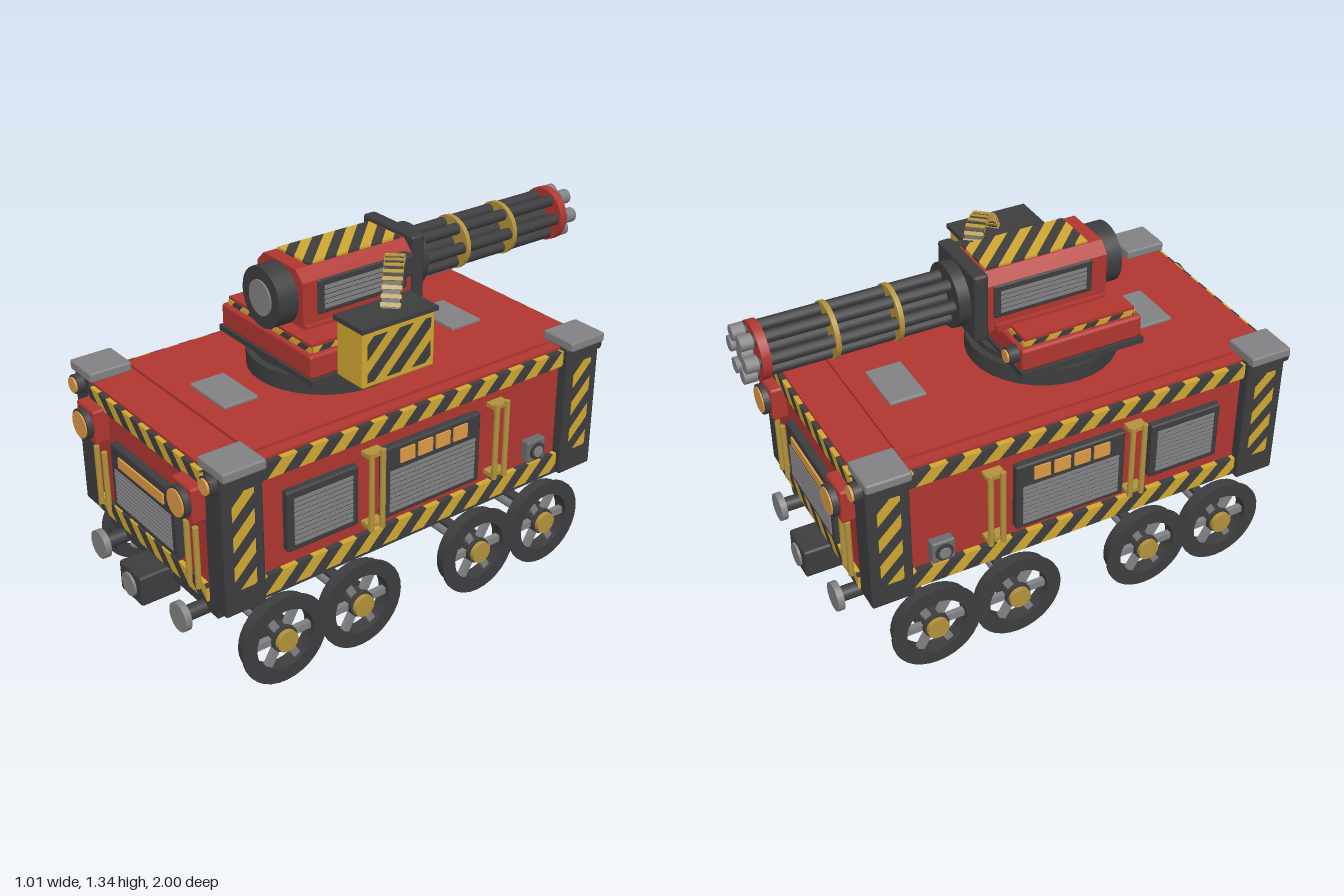
import * as THREE from 'three';
import { RoundedBoxGeometry } from 'three/addons/geometries/RoundedBoxGeometry.js';

const material = (name, color) => {
  const m = new THREE.MeshStandardMaterial({ color });
  m.name = name;
  return m;
};
const RED = material('red paint', 0xb03630), DARK = material('dark iron', 0x3d3d3f);
const GREY = material('grey steel', 0x828284), STEEL = material('dull steel', 0x6c6c6f);
const YELLOW = material('hazard yellow', 0xcfa731), BRASS = material('brass', 0xb3923c);
const ORANGE = material('lamp orange', 0xdd9a45);

function add(parent, name, geometry, mat) {
  const mesh = new THREE.Mesh(geometry, mat);
  mesh.name = name;
  parent.add(mesh);
  return mesh;
}
// Box given by its minimum and maximum on each axis
function box(parent, name, mat, x0, x1, y0, y1, z0, z1, bevel = 0) {
  const s = [x1 - x0, y1 - y0, z1 - z0];
  const g = bevel ? new RoundedBoxGeometry(...s, 1, bevel) : new THREE.BoxGeometry(...s);
  const mesh = add(parent, name, g, mat);
  mesh.position.set((x0 + x1) / 2, (y0 + y1) / 2, (z0 + z1) / 2);
  return mesh;
}
// Cylinder centred at a point, lying along 'x', 'y' or 'z'
function cyl(parent, name, mat, r, length, axis, x, y, z, sides = 20) {
  const g = new THREE.CylinderGeometry(r, r, length, sides);
  if (axis === 'x') g.rotateZ(-Math.PI / 2);
  if (axis === 'z') g.rotateX(Math.PI / 2);
  const mesh = add(parent, name, g, mat);
  mesh.position.set(x, y, z);
  return mesh;
}
function group(parent, name, x = 0, y = 0, z = 0, ry = 0) {
  const g = new THREE.Group();
  g.name = name;
  g.position.set(x, y, z);
  g.rotation.y = ry;
  parent.add(g);
  return g;
}
// Keep the part of a polygon where sign * (u - limit) <= 0
function clip(points, limit, sign) {
  const out = [];
  points.forEach((p, i) => {
    const q = points[(i + 1) % points.length];
    const a = sign * (p.x - limit), b = sign * (q.x - limit);
    if (a <= 0) out.push(p);
    if (a * b < 0) out.push(p.clone().lerp(q, a / (a - b)));
  });
  return out;
}
// Diagonal blocks filling half of a w by h rectangle centred at (x, y)
function stripes(parent, name, mat, x, y, z, w, h, depth, period, phase = 0, lean = 1) {
  const shapes = [], width = period / 2, s = lean * h / 2;
  const V = (u, v) => new THREE.Vector2(u, v);
  for (let a = -w / 2 - h + phase; a < w / 2 + h; a += period) {
    let p = [V(a - s, -h / 2), V(a + width - s, -h / 2), V(a + width + s, h / 2), V(a + s, h / 2)];
    p = clip(clip(p, w / 2, 1), -w / 2, -1);
    if (p.length > 2) shapes.push(new THREE.Shape(p));
  }
  const g = new THREE.ExtrudeGeometry(shapes, { depth, bevelEnabled: false });
  add(parent, name, g, mat).position.set(x, y, z);
}
// Hazard band of alternating yellow and dark blocks
function hazard(parent, x, y, z, w, h, depth, period, lean = 1) {
  stripes(parent, 'yellow stripes', YELLOW, x, y, z, w, h, depth, period, 0, lean);
  stripes(parent, 'dark stripes', DARK, x, y, z, w, h, depth, period, -period / 2, lean);
}
// Framed vent with grey slats between v0 and v1
function vent(parent, x, y0, y1, w, v0, v1, n, z = 0) {
  box(parent, 'vent frame', DARK, x - w / 2, x + w / 2, y0, y1, z - 0.01, z + 0.025, 0.008);
  const step = (v1 - v0) / n;
  for (let i = 0; i < n; i++)
    box(parent, 'vent slat', GREY, x - w / 2 + 0.026, x + w / 2 - 0.026, v0 + i * step, v0 + (i + 0.75) * step, z + 0.02, z + 0.028);
}
// Pair of upright brass rails
function rails(parent, x, gap, y0, y1, z) {
  for (const s of [-1, 1])
    cyl(parent, 'rail', BRASS, 0.011, y1 - y0, 'y', x + s * gap / 2, (y0 + y1) / 2, z, 10);
}

// End wall, facing local +z
function endWall(parent, z, ry) {
  const g = group(parent, 'endWall', 0, 0, z, ry);
  hazard(g, 0, 0.842, -0.01, 0.74, 0.06, 0.022, 0.11, -1);
  hazard(g, 0, 0.4, -0.01, 0.74, 0.065, 0.022, 0.11, -1);
  vent(g, 0, 0.455, 0.715, 0.43, 0.48, 0.625, 9);
  box(g, 'light strip', ORANGE, -0.15, 0.15, 0.645, 0.685, 0.02, 0.032);
  for (const s of [-1, 1]) {
    const x = s * 0.32;
    box(g, 'lamp housing', RED, x - 0.063, x + 0.063, 0.69, 0.825, -0.01, 0.055, 0.01);
    cyl(g, 'lamp rim', DARK, 0.058, 0.03, 'z', x, 0.757, 0.062, 24);
    cyl(g, 'lamp lens', ORANGE, 0.05, 0.03, 'z', x, 0.757, 0.067, 24);
    cyl(g, 'marker rim', DARK, 0.036, 0.03, 'z', s * 0.432, 0.855, 0.018, 16);
    cyl(g, 'marker lens', ORANGE, 0.029, 0.03, 'z', s * 0.432, 0.855, 0.026, 16);
    rails(g, s * 0.303, 0.056, 0.405, 0.645, 0.018);
    // Buffers
    cyl(g, 'buffer stem', DARK, 0.028, 0.1, 'z', s * 0.275, 0.275, 0.0, 16);
    cyl(g, 'buffer head', GREY, 0.055, 0.025, 'z', s * 0.275, 0.275, 0.062, 24);
  }
  box(g, 'coupler', DARK, -0.075, 0.075, 0.21, 0.33, -0.06, 0.1, 0.01);
  cyl(g, 'coupler disc', GREY, 0.045, 0.012, 'z', 0, 0.27, 0.103, 24);
}
// Long wall, facing local +z; m flips it so both sides match
function sideWall(parent, m) {
  const g = group(parent, 'sideWall', m * 0.435, 0, 0, m * Math.PI / 2);
  const u = z => -m * z;
  hazard(g, u(0.06), 0.842, -0.01, 1.36, 0.06, 0.032, 0.125);
  hazard(g, u(0.06), 0.402, -0.01, 1.36, 0.075, 0.032, 0.125);
  vent(g, u(0.487), 0.5, 0.735, 0.295, 0.525, 0.71, 10, 0.005);
  vent(g, u(0.01), 0.475, 0.755, 0.44, 0.495, 0.665, 9, 0.005);
  for (let i = 0; i < 4; i++) {
    const x = u(0.01) + (i - 1.5) * 0.08;
    box(g, 'window light', ORANGE, x - 0.032, x + 0.032, 0.683, 0.737, 0.025, 0.037);
  }
  for (const z of [0.273, -0.295]) {
    rails(g, u(z), 0.048, 0.465, 0.775, 0.047);
    for (const y of [0.48, 0.76])
      box(g, 'rail bracket', BRASS, u(z) - 0.035, u(z) + 0.035, y - 0.008, y + 0.008, -0.01, 0.045);
  }
  box(g, 'service box', STEEL, u(-0.495) - 0.045, u(-0.495) + 0.045, 0.455, 0.545, -0.01, 0.035, 0.008);
  cyl(g, 'service dial', DARK, 0.034, 0.02, 'z', u(-0.495), 0.5, 0.032, 16);
  cyl(g, 'service cap', GREY, 0.022, 0.02, 'z', u(-0.495), 0.5, 0.038, 16);
  for (const z of [0.815, -0.695]) hazard(g, u(z), 0.635, 0.035, 0.085, 0.37, 0.011, 0.115);
}
// Spoked wheel with an outer flange
function wheel(parent, s, z) {
  const g = group(parent, 'wheel', s * 0.43, 0.174, z, s * Math.PI / 2);
  const ring = [[0.118, 0], [0.158, 0], [0.158, 0.044], [0.174, 0.048], [0.174, 0.058], [0.118, 0.058], [0.118, 0]];
  const rim = [];
  ring.forEach((p, i) => { // doubled corners keep the edges crisp
    rim.push(new THREE.Vector2(...p));
    if (i && i < ring.length - 1) rim.push(new THREE.Vector2(...p));
  });
  add(g, 'rim', new THREE.LatheGeometry(rim, 32).rotateX(Math.PI / 2), DARK);
  for (let i = 0; i < 3; i++)
    box(g, 'spoke', GREY, -0.122, 0.122, -0.014, 0.014, 0.018, 0.04).rotation.z = i * Math.PI / 3;
  cyl(g, 'hub', DARK, 0.05, 0.05, 'z', 0, 0, 0.03, 20);
  cyl(g, 'hub cap', BRASS, 0.042, 0.02, 'z', 0, 0, 0.063, 16);
  cyl(g, 'axle box', DARK, 0.06, 0.03, 'z', 0, 0, -0.018, 16);
}

function hull(root) {
  const g = group(root, 'hull');
  box(g, 'body', RED, -0.435, 0.435, 0.36, 0.882, -0.765, 0.885);
  box(g, 'roof panel', RED, -0.39, 0.39, 0.88, 0.893, -0.6, 0.72);
  for (const z of [0.57, -0.445]) box(g, 'roof hatch', GREY, -0.11, 0.11, 0.89, 0.905, z - 0.07, z + 0.07, 0.005);
  for (const x of [-1, 1]) for (const z of [-1, 1]) {
    const post = group(g, 'cornerPost', x * 0.425, 0, 0.06 + z * 0.755);
    box(post, 'post', DARK, -0.053, 0.053, 0.355, 0.885, -0.08, 0.08, 0.008);
    box(post, 'cap', GREY, -0.077, 0.077, 0.882, 0.92, -0.083, 0.083, 0.008);
  }
  endWall(g, 0.89, 0);
  endWall(g, -0.77, Math.PI);
  sideWall(g, 1);
  sideWall(g, -1);
}

function chassis(root) {
  const g = group(root, 'chassis');
  box(g, 'frame', DARK, -0.365, 0.365, 0.275, 0.362, -0.74, 0.86);
  for (const z of [0.67, 0.34, -0.21, -0.54]) {
    cyl(g, 'axle', GREY, 0.026, 0.86, 'x', 0, 0.174, z, 12);
    box(g, 'axle beam', DARK, -0.4, 0.4, 0.2, 0.215, z - 0.02, z + 0.02);
    for (const s of [-1, 1]) wheel(g, s, z);
  }
  cyl(g, 'tank', GREY, 0.124, 0.31, 'z', 0, 0.214, 0.065, 20);
  for (const z of [0.17, -0.04]) cyl(g, 'tank band', DARK, 0.127, 0.02, 'z', 0, 0.214, z, 20);
}

function turret(root) {
  const g = group(root, 'turret');
  cyl(g, 'turntable', DARK, 0.282, 0.065, 'y', 0, 0.925, 0.14, 32);
  cyl(g, 'turntable neck', DARK, 0.255, 0.03, 'y', 0, 0.965, 0.14, 32);
  box(g, 'base plate', DARK, -0.285, 0.285, 0.974, 0.996, -0.09, 0.4);
  box(g, 'platform', RED, -0.275, 0.275, 0.994, 1.083, -0.085, 0.395, 0.012);
  box(g, 'platform top', RED, -0.25, 0.25, 1.078, 1.113, -0.065, 0.375);
  for (const [x, z, ry, w] of [[0, 0.375, 0, 0.5], [0, -0.065, Math.PI, 0.5], [0.25, 0.155, Math.PI / 2, 0.43], [-0.25, 0.155, -Math.PI / 2, 0.43]])
    hazard(group(g, 'platformTrim', x, 0, z, ry), 0, 1.092, -0.005, w, 0.02, 0.009, 0.1);
  for (const x of [-0.225, 0.225]) {
    cyl(g, 'platform lamp', DARK, 0.032, 0.045, 'z', x, 1.048, -0.1, 16);
    cyl(g, 'platform lens', ORANGE, 0.024, 0.01, 'z', x, 1.048, -0.124, 16);
  }
  // Gun housing with chamfered shoulders
  box(g, 'cradle', RED, -0.15, 0.15, 1.1, 1.125, -0.12, 0.32);
  const profile = new THREE.Shape([[-0.135, 1.1], [0.135, 1.1], [0.135, 1.28], [0.095, 1.32], [-0.095, 1.32], [-0.135, 1.28]].map(p => new THREE.Vector2(...p)));
  add(g, 'gun housing', new THREE.ExtrudeGeometry(profile, { depth: 0.48, bevelEnabled: false }), RED).position.z = -0.155;
  const top = group(g, 'housingTop', 0, 1.32, 0.07);
  top.rotation.x = -Math.PI / 2;
  hazard(top, 0, 0, -0.01, 0.18, 0.4, 0.018, 0.1, -1);
  for (const s of [-1, 1])
    vent(group(g, 'housingVent', s * 0.135, 0, 0.07, s * Math.PI / 2), 0, 1.15, 1.28, 0.39, 1.17, 1.26, 5, -0.018);
  cyl(g, 'breech', DARK, 0.112, 0.09, 'z', 0, 1.205, 0.36, 28);
  cyl(g, 'breech disc', GREY, 0.065, 0.012, 'z', 0, 1.205, 0.405, 24);
  box(g, 'collar', DARK, -0.145, 0.145, 1.075, 1.337, -0.2, -0.145, 0.012);
  cyl(g, 'collar ring', DARK, 0.118, 0.05, 'z', 0, 1.205, -0.22, 28);
}

function barrels(root) {
  const g = group(root, 'barrels', 0, 1.2, 0);
  cyl(g, 'spindle', DARK, 0.028, 0.74, 'z', 0, 0, -0.6, 12);
  cyl(g, 'spindle tip', GREY, 0.03, 0.04, 'z', 0, 0, -0.97, 12);
  for (let i = 0; i < 6; i++) {
    const a = i * Math.PI / 3, x = 0.074 * Math.cos(a), y = 0.074 * Math.sin(a);
    cyl(g, 'barrel', DARK, 0.022, 0.72, 'z', x, y, -0.6, 12);
    cyl(g, 'muzzle', GREY, 0.028, 0.045, 'z', x, y, -0.977, 12);
  }
  cyl(g, 'clamp', BRASS, 0.102, 0.018, 'z', 0, 0, -0.45, 24);
  cyl(g, 'clamp', BRASS, 0.102, 0.018, 'z', 0, 0, -0.68, 24);
  cyl(g, 'muzzle clamp', RED, 0.104, 0.032, 'z', 0, 0, -0.93, 24);
}

function ammunition(root) {
  const g = group(root, 'ammunition');
  box(g, 'ammo box', YELLOW, 0.278, 0.422, 0.988, 1.195, -0.018, 0.292, 0.008);
  const side = group(g, 'boxStripes', 0.422, 0, 0.137, Math.PI / 2);
  stripes(side, 'dark stripes', DARK, 0, 1.092, -0.003, 0.27, 0.165, 0.006, 0.11);
  box(g, 'ammo lid', DARK, 0.27, 0.43, 1.195, 1.212, -0.026, 0.3);
  box(g, 'feed block', DARK, 0.13, 0.182, 1.21, 1.29, -0.12, -0.03, 0.006);
  // Feed belt of alternating links
  const path = new THREE.CatmullRomCurve3([[0.15, 1.27, -0.06], [0.2, 1.312, -0.02], [0.25, 1.315, 0.025], [0.305, 1.28, 0.075], [0.345, 1.205, 0.115]]
    .map(p => new THREE.Vector3(...p)));
  for (let i = 0; i <= 22; i++) {
    const t = i / 22, p = path.getPointAt(t);
    const link = add(g, 'belt link', new THREE.BoxGeometry(i % 2 ? 0.07 : 0.062, i % 2 ? 0.026 : 0.02, 0.015), i % 2 ? BRASS : DARK);
    link.position.copy(p);
    link.lookAt(p.add(path.getTangentAt(t)));
  }
}

export function createModel() {
  const root = new THREE.Group();
  root.name = 'armouredWagon';
  hull(root);
  chassis(root);
  turret(root);
  barrels(root);
  ammunition(root);
  return root;
}
